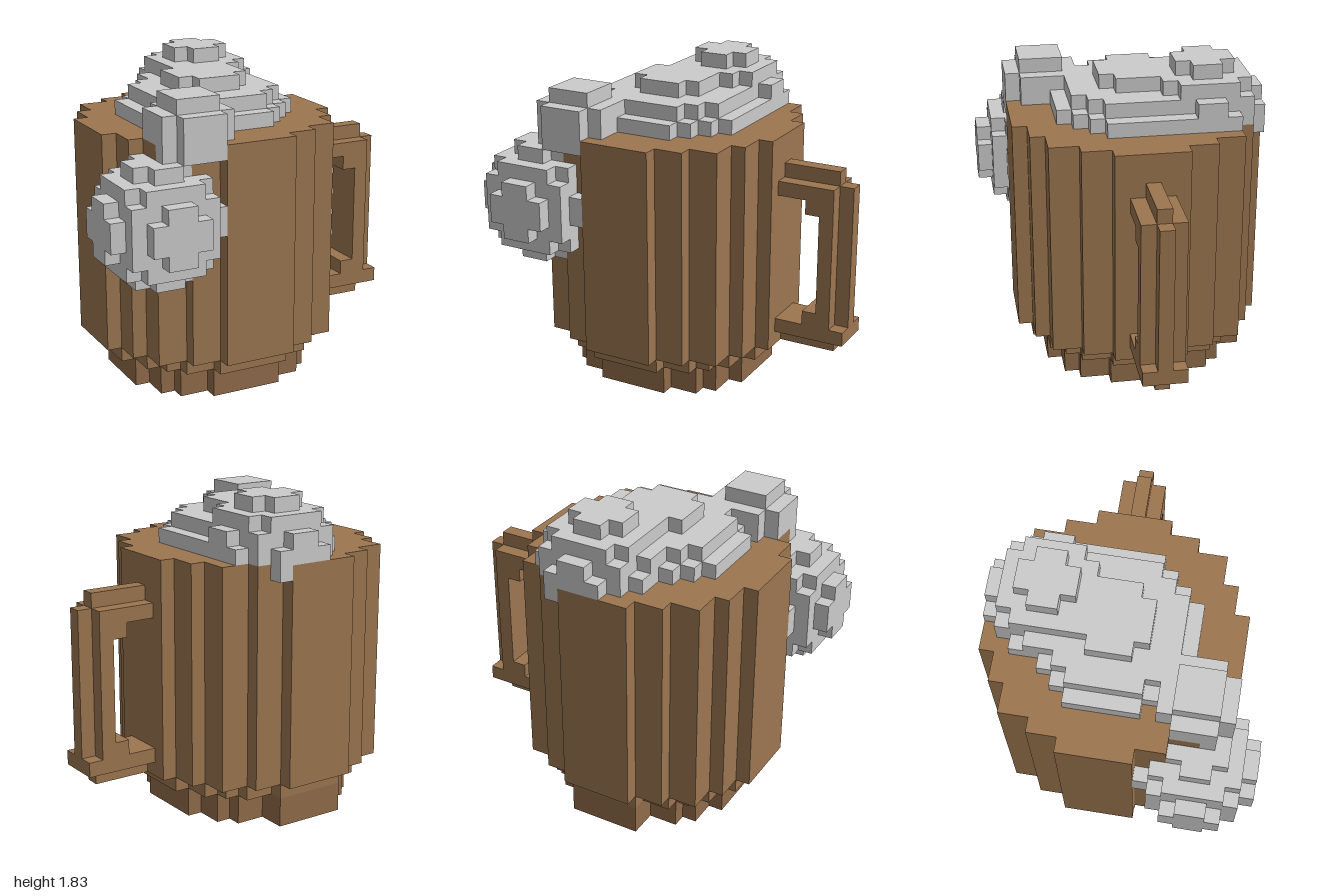
import * as THREE from 'three';

const U = 1 / 12; // edge length of one block
const FACES = [[1, 0, 0], [-1, 0, 0], [0, 1, 0], [0, -1, 0], [0, 0, 1], [0, 0, -1]];
const key = (i, j, k) => `${i},${j},${k}`;

export function createModel() {
  const owner = new Map(); // block -> part name; the first part to claim a block keeps it
  const parts = {};

  const put = (part, i, j, k) => {
    const id = key(i, j, k);
    if (owner.has(id)) return;
    owner.set(id, part);
    (parts[part] ??= []).push([i, j, k]);
  };

  // block ranges are [from, to)
  const box = (part, [x0, x1], [y0, y1], [z0, z1]) => {
    for (let i = x0; i < x1; i++)
      for (let j = y0; j < y1; j++)
        for (let k = z0; k < z1; k++) put(part, i, j, k);
  };

  // stepped round disc, centred on the mug's axis
  const disc = (part, r, y0, y1) => {
    for (let i = -12; i < 12; i++)
      for (let k = -10; k <= 9; k++)
        if ((i + 2) ** 2 + (k + 1) ** 2 <= r * r) box(part, [i, i + 1], [y0, y1], [k, k + 1]);
  };

  // stepped ball
  const ball = (part, cx, cy, cz, r) => {
    for (let i = Math.floor(cx - r); i < cx + r; i++)
      for (let j = Math.floor(cy - r); j < cy + r; j++)
        for (let k = Math.floor(cz - r); k <= cz + r; k++)
          if ((i + 0.5 - cx) ** 2 + (j + 0.5 - cy) ** 2 + (k - cz) ** 2 <= r * r) put(part, i, j, k);
  };

  // mug: narrow foot, chamfer ring, tall body
  disc('mugFoot', 6.5, 0, 2);
  box('mugFoot', [-4, 1], [0, 2], [-8, -7]);
  disc('mugChamfer', 7.5, 2, 3);
  disc('mugBody', 8.5, 3, 18);

  // handle: three-wide core with a one-wide outer ridge
  const wide = [-2, 1], ridge = [-1, 0];
  box('handle', [7, 11], [14, 15], wide);
  box('handle', [7, 11], [15, 16], ridge);
  box('handle', [9, 10], [13, 14], wide);
  box('handle', [10, 11], [4, 15], wide);
  box('handle', [11, 12], [5, 15], ridge);
  box('handle', [9, 10], [5, 6], wide);
  box('handle', [7, 12], [4, 5], wide);
  box('handle', [7, 11], [3, 4], ridge);

  // foam: flat mound, rear ball, rim blob and the drip hanging at the front
  [5.5, 4.5, 2.5].forEach((r, n) => disc('foamMound', r, 18 + n, 19 + n));
  ball('foamRearBall', 0, 18, -5.5, 4);
  ball('foamRimBlob', -5.5, 18.5, 5, 2.5);
  ball('foamDrip', -8, 13, 5.5, 4);

  // skin: one quad for every exposed block face
  const skin = (blocks) => {
    const pos = [], nor = [], index = [];
    for (const [i, j, k] of blocks)
      for (const f of FACES) {
        if (owner.has(key(i + f[0], j + f[1], k + f[2]))) continue;
        const n = new THREE.Vector3(...f);
        const a = new THREE.Vector3(f[1], f[2], f[0]); // in-plane axis
        const b = n.clone().cross(a);
        const c = new THREE.Vector3(i + 0.5, j + 0.5, k).addScaledVector(n, 0.5);
        const v = pos.length / 3;
        for (const [s, t] of [[-1, -1], [1, -1], [1, 1], [-1, 1]]) {
          const p = c.clone().addScaledVector(a, s / 2).addScaledVector(b, t / 2).multiplyScalar(U);
          pos.push(p.x, p.y, p.z);
          nor.push(...f);
        }
        index.push(v, v + 1, v + 2, v, v + 2, v + 3);
      }
    const g = new THREE.BufferGeometry();
    g.setAttribute('position', new THREE.Float32BufferAttribute(pos, 3));
    g.setAttribute('normal', new THREE.Float32BufferAttribute(nor, 3));
    g.setIndex(index);
    return g;
  };

  const wood = new THREE.MeshStandardMaterial({ color: 0x9c7650 });
  const darkWood = new THREE.MeshStandardMaterial({ color: 0x906c4a });
  const foam = new THREE.MeshStandardMaterial({ color: 0xcccccc });

  const group = new THREE.Group();
  group.name = 'foamingMug';
  for (const [name, blocks] of Object.entries(parts)) {
    const material = name.startsWith('foam') ? foam : name === 'mugFoot' ? darkWood : wood;
    const mesh = new THREE.Mesh(skin(blocks), material);
    mesh.name = name;
    group.add(mesh);
  }
  return group;
}
